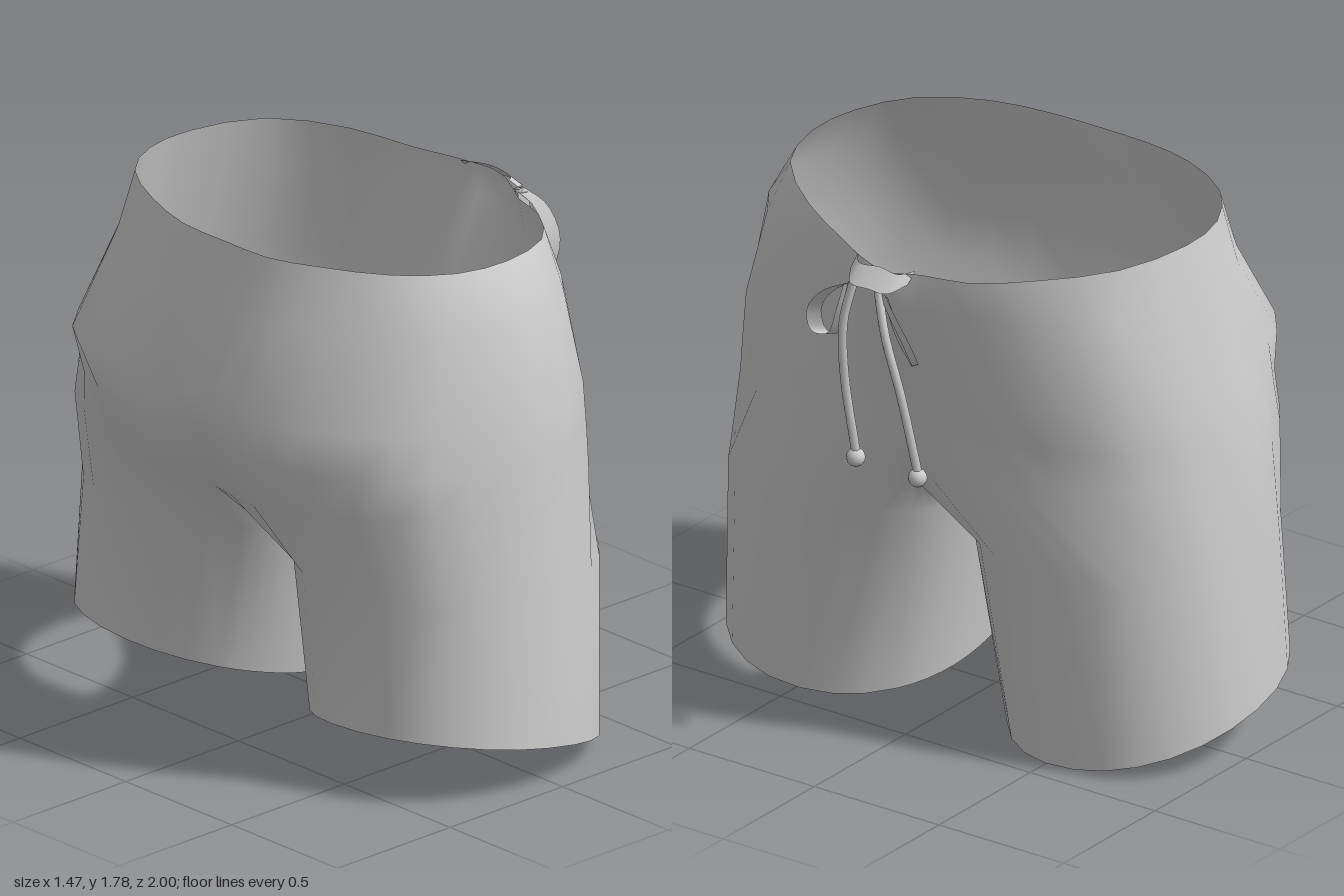
import * as THREE from 'three';
import { mergeVertices } from 'three/addons/utils/BufferGeometryUtils.js';

const fabric = new THREE.MeshStandardMaterial({ color: 0xcccccc, side: THREE.DoubleSide });
fabric.name = 'grey fabric';

const V = (x, y, z) => new THREE.Vector3(x, y, z);
const spline = (pts, n) => new THREE.CatmullRomCurve3(pts).getPoints(n);
const squash = (v, power) => Math.sign(v) * Math.abs(v) ** power;

// Full leg ring: 21 outer points from front to back, then 11 inner points
function legRing(cx, rx, zInner, zOuter, power, height) {
  const ring = [], cz = (zInner + zOuter) / 2, rz = (zOuter - zInner) / 2;
  for (let j = 0; j < 32; j++) {
    const deg = j <= 20 ? -50 + 14 * j : 230 + (80 / 12) * (j - 20);
    const a = THREE.MathUtils.degToRad(deg), c = Math.cos(a), s = Math.sin(a);
    ring.push(V(cx + rx * squash(c, power), height(c, s), cz + rz * squash(s, power)));
  }
  return ring;
}

// Half of a body section, from the front seam round the side to the back seam
function halfSection(y, zScale, xz) {
  return spline(xz.map(([x, z], i) => V(x, Array.isArray(y) ? y[i] : y, z * zScale)), 20);
}

// All rows of one side; the right side is slimmer at the waist and fuller in front
function sideRows(left) {
  const hem = legRing(-0.06, 0.48, left ? 0.11 : 0.13, 1, 0.95, (c, s) => 0.114 - 0.108 * c + 0.0375 * s);
  const thigh = legRing(-0.045, 0.485, left ? 0.035 : 0.02, 0.965, 0.87, () => 0.68);
  const hip = halfSection([0.9, 0.95, 0.98, 1, 1, 1, 1, 1, 0.98, 0.95, 0.92], left ? 1 : 0.99,
    [[0.457, 0], [0.465, 0.14], [0.46, 0.3], [0.435, 0.53], [0.285, 0.82], [-0.04, 0.94],
      [-0.31, 0.885], [-0.515, 0.765], [-0.63, 0.51], [-0.67, 0.25], [-0.6, 0]]);
  const crotch = spline([V(-0.6, 0.92, 0), V(-0.45, 0.83, 0), V(-0.22, 0.79, 0), V(0, 0.775, 0),
    V(0.2, 0.78, 0), V(0.36, 0.82, 0), V(0.457, 0.9, 0)], 12).slice(1, -1);
  const lap = halfSection(1.13, left ? 1 : 0.975, [[0.475, 0], [0.495, 0.14],
    ...(left ? [[0.485, 0.28], [0.445, 0.52], [0.285, 0.81]] : [[0.495, 0.28], [0.455, 0.53], [0.3, 0.81]]),
    [-0.035, 0.928], [-0.3, 0.88], [-0.51, 0.76], [-0.655, 0.51], [-0.705, 0.24], [-0.66, 0]]);
  const seat = halfSection(1.28, left ? 1 : 0.96, [[0.51, 0], [0.5, 0.14],
    ...(left ? [[0.475, 0.3], [0.44, 0.52], [0.28, 0.8]] : [[0.505, 0.3], [0.465, 0.53], [0.305, 0.81]]),
    [-0.03, 0.915], [-0.28, 0.865],
    ...(left ? [[-0.505, 0.735], [-0.665, 0.495], [-0.74, 0.235]]
      : [[-0.5, 0.79], [-0.685, 0.58], [-0.7, 0.25]]), [-0.71, 0]]);
  const band = halfSection(1.58, left ? 1 : 0.935, [[0.64, 0], [0.59, 0.12],
    ...(left ? [[0.49, 0.3], [0.42, 0.5], [0.26, 0.73]] : [[0.545, 0.3], [0.47, 0.52], [0.31, 0.75]]),
    [0, 0.863], [-0.22, 0.83], [-0.42, 0.7], [-0.56, 0.45], [-0.615, 0.22], [-0.615, 0]]);
  const waist = halfSection([1.69, 1.7, 1.7, 1.73, 1.755, 1.765, 1.77, 1.78, 1.78, 1.77, 1.77],
    left ? 0.98 : 1.01, [[0.62, 0], [0.58, 0.12],
      ...(left ? [[0.49, 0.28], [0.4, 0.47], [0.22, 0.68]] : [[0.54, 0.28], [0.45, 0.48], [0.27, 0.68]]),
      [0, 0.755], [-0.2, 0.73], [-0.38, 0.61], [-0.5, 0.4], [-0.555, 0.2], [-0.56, 0]]);
  return { leg: [hem, thigh, [...hip, ...crotch]], body: [hip, lap, seat, band, waist] };
}

function shortsGeometry() {
  const pos = [], index = [];
  const loft = (rows, closed, side) => {
    const n = rows[0].length, base = pos.length / 3;
    rows.forEach(r => r.forEach(p => pos.push(p.x, p.y, Math.abs(p.z) < 1e-4 ? 0 : p.z * side)));
    for (let i = 0; i < rows.length - 1; i++) {
      for (let j = 0; j < (closed ? n : n - 1); j++) {
        const a = base + i * n + j, b = base + i * n + (j + 1) % n, c = a + n, d = b + n;
        if (side > 0) index.push(a, c, b, b, c, d);
        else index.push(a, b, c, b, d, c);
      }
    }
  };
  for (const side of [1, -1]) {
    const { leg, body } = sideRows(side > 0);
    loft(leg, true, side);
    loft(body, false, side);
  }
  let geo = new THREE.BufferGeometry();
  geo.setAttribute('position', new THREE.Float32BufferAttribute(pos, 3));
  geo.setIndex(index);
  geo = mergeVertices(geo, 1e-4);
  geo.computeVertexNormals();
  return geo;
}

// Flat strip along a path; its width lies along dir and tapers to the ends
function ribbon(points, dir, width, taper) {
  const n = 20, path = spline(points, n);
  const geo = new THREE.PlaneGeometry(1, 1, 1, n);
  const p = geo.attributes.position;
  for (let i = 0; i <= n; i++) {
    const w = width * (1 - taper + taper * Math.sin((Math.PI * i) / n));
    for (let k = 0; k < 2; k++) {
      const q = path[i].clone().addScaledVector(dir, (k - 0.5) * w);
      p.setXYZ(i * 2 + k, q.x, q.y, q.z);
    }
  }
  geo.computeVertexNormals();
  return geo;
}

export function createModel() {
  const group = new THREE.Group();
  const add = (name, geo) => {
    const mesh = new THREE.Mesh(geo, fabric);
    mesh.name = name;
    group.add(mesh);
    return mesh;
  };

  add('shorts', shortsGeometry());

  // Gathered fabric where the cord comes out
  add('cordGather', ribbon([V(0.59, 1.685, 0.14), V(0.64, 1.67, 0.1), V(0.645, 1.675, 0.02),
    V(0.64, 1.67, -0.05), V(0.59, 1.685, -0.09)], V(0.75, -0.66, 0), 0.085, 0.4));

  // Bow loops
  add('leftBowLoop', ribbon([V(0.65, 1.64, 0.1), V(0.67, 1.6, 0.18), V(0.66, 1.51, 0.25),
    V(0.63, 1.42, 0.25), V(0.62, 1.42, 0.2), V(0.64, 1.53, 0.15), V(0.65, 1.63, 0.12)],
  V(0.8, 0.1, 0.5).normalize(), 0.055, 0.4));
  add('rightBowLoop', ribbon([V(0.65, 1.64, -0.01), V(0.69, 1.59, -0.08), V(0.71, 1.51, -0.155),
    V(0.68, 1.43, -0.17), V(0.65, 1.42, -0.14), V(0.65, 1.5, -0.08), V(0.65, 1.62, -0.03)],
  V(0.45, 0.4, -0.6).normalize(), 0.085, 0.4));

  // Hanging cords with end beads
  const cords = [
    ['left', [V(0.65, 1.64, 0.1), V(0.67, 1.5, 0.125), V(0.65, 1.3, 0.135), V(0.615, 1.02, 0.115)]],
    ['right', [V(0.65, 1.64, 0), V(0.68, 1.5, -0.05), V(0.67, 1.3, -0.105), V(0.625, 1.02, -0.14)]],
  ];
  for (const [side, pts] of cords) {
    add(side + 'Cord', new THREE.TubeGeometry(new THREE.CatmullRomCurve3(pts), 16, 0.015, 6));
    const bead = add(side + 'CordBead', new THREE.SphereGeometry(0.032, 12, 8));
    bead.position.copy(pts[3]).setY(1.0);
  }
  return group;
}
